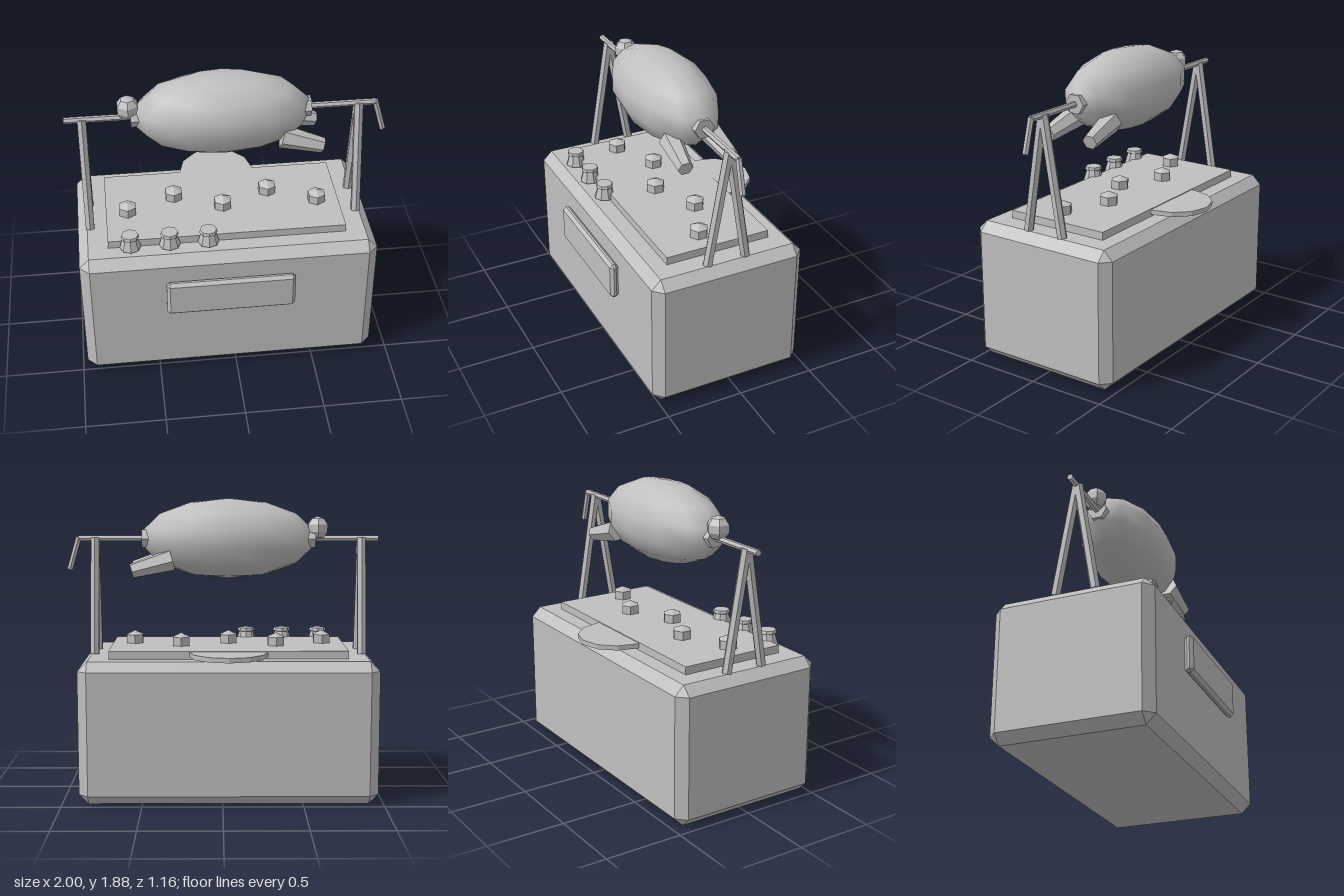
import * as THREE from 'three';
import { ConvexGeometry } from 'three/addons/geometries/ConvexGeometry.js';

const CX = -0.037, CZ = 0.025, ROD_Y = 1.627;

export function createModel() {
  const model = new THREE.Group();
  model.name = 'spitRoast';
  const grey = new THREE.MeshStandardMaterial({ color: 0xbfbfbf });
  grey.name = 'grey';

  const add = (name, geometry, x = 0, y = 0, z = 0) => {
    const mesh = new THREE.Mesh(geometry, grey);
    mesh.name = name;
    mesh.position.set(x, y, z);
    model.add(mesh);
    return mesh;
  };

  const flat = (geometry) => {
    const g = geometry.index ? geometry.toNonIndexed() : geometry;
    g.computeVertexNormals();
    return g;
  };

  // Box with flat chamfers on every edge
  const chamferBox = (w, h, d, c) => {
    const points = [];
    for (const sx of [-1, 1]) for (const sy of [-1, 1]) for (const sz of [-1, 1]) {
      for (let axis = 0; axis < 3; axis++) {
        const inset = [c, c, c];
        inset[axis] = 0;
        points.push(new THREE.Vector3(
          sx * (w / 2 - inset[0]), sy * (h / 2 - inset[1]), sz * (d / 2 - inset[2])));
      }
    }
    return new ConvexGeometry(points);
  };

  // Faceted bar between two points
  const bar = (name, from, to, r0, r1 = r0, sides = 6) => {
    const a = new THREE.Vector3(...from), b = new THREE.Vector3(...to);
    const dir = b.clone().sub(a);
    const mesh = add(name, flat(new THREE.CylinderGeometry(r1, r0, dir.length(), sides)));
    mesh.position.copy(a).add(b).multiplyScalar(0.5);
    mesh.quaternion.setFromUnitVectors(new THREE.Vector3(0, 1, 0), dir.normalize());
    return mesh;
  };

  // Grill cabinet, front panel and cooking plate
  add('cabinet', chamferBox(1.865, 0.895, 1.01, 0.06), CX, 0.4475, CZ);
  add('frontPanel', chamferBox(0.81, 0.245, 0.055, 0.02), CX, 0.612, 0.5575);
  add('cookingPlate', new THREE.BoxGeometry(1.495, 0.05, 0.69), CX, 0.92, CZ);

  // Round shelf at the back
  const shelf = add('backShelf', flat(new THREE.CylinderGeometry(0.25, 0.25, 0.03, 12)), CX, 0.925, -0.33);
  shelf.scale.x = 0.97;

  // Control knobs with a flared foot
  const knobProfile = [[0, 0], [0.067, 0], [0.046, 0.07], [0.057, 0.075], [0.052, 0.095], [0, 0.095]]
    .map(([r, y]) => new THREE.Vector2(r, y));
  for (const x of [-0.647, -0.403, -0.162]) {
    add('knob', flat(new THREE.LatheGeometry(knobProfile, 8)), x, 0.911, 0.39);
  }

  // Coals, alternating in depth
  for (let i = 0; i < 5; i++) {
    const x = -0.647 + i * 0.304, z = i % 2 ? -0.045 : 0.085;
    add('coal', flat(new THREE.CylinderGeometry(0.06, 0.06, 0.055, 6)), x, 0.9725, z);
    add('coalTop', flat(new THREE.ConeGeometry(0.06, 0.027, 6, 1, true)), x, 1.0135, z);
  }

  // A-frame supports
  for (const x of [-0.89, 0.815]) {
    for (const s of [-1, 1]) {
      bar('supportLeg', [x, 0.895, CZ + s * 0.127], [x, 1.63, CZ + s * 0.004], 0.031);
    }
  }

  // Spit rod and crank
  bar('spitRod', [-1, ROD_Y, CZ], [0.925, ROD_Y, CZ], 0.02);
  bar('crank', [0.92, 1.635, CZ], [0.98, 1.428, CZ], 0.02);

  // Roast with end collars
  const roast = add('roast', new THREE.SphereGeometry(1, 12, 7), CX, ROD_Y, CZ);
  roast.scale.set(0.557, 0.255, 0.27);
  bar('rightCollar', [-0.595, ROD_Y, CZ], [-0.52, ROD_Y, CZ], 0.065);
  bar('leftCollar', [0.45, ROD_Y, CZ], [0.515, ROD_Y, CZ], 0.065);

  // Drumsticks
  for (const s of [-1, 1]) {
    bar('drumstick', [0.32, 1.5, CZ + s * 0.13], [0.575, 1.43, CZ + s * 0.155], 0.073, 0.048);
  }

  // Ball at the right end
  const ball = add('ball', flat(new THREE.SphereGeometry(0.075, 6, 5)), -0.61, 1.693, CZ);
  ball.rotation.y = Math.PI / 6;

  return model;
}
